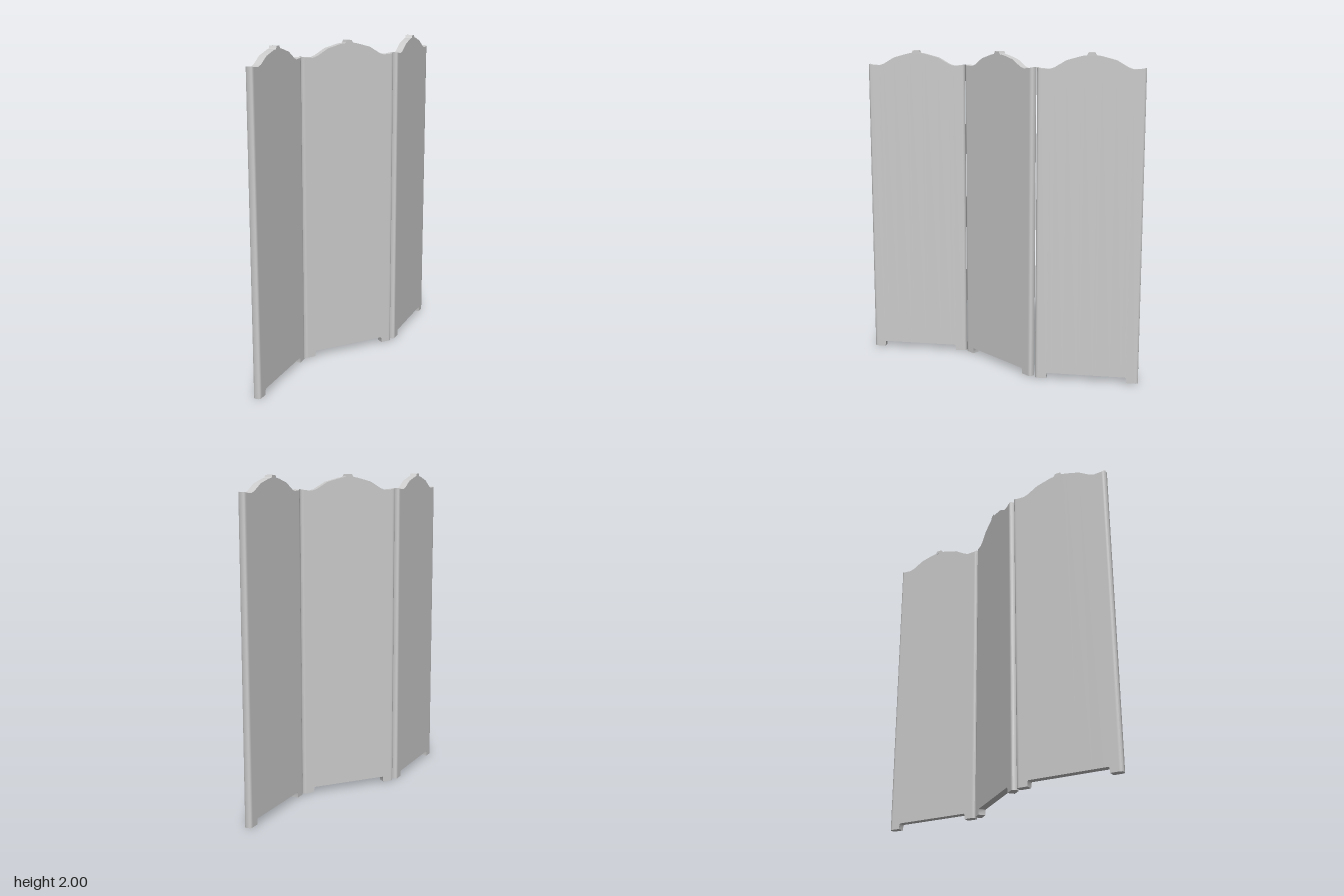
import * as THREE from 'three';
import { toCreasedNormals } from 'three/addons/utils/BufferGeometryUtils.js';

const TILT = THREE.MathUtils.degToRad(20);
const SPACING = 0.617;
const HALF_DEPTH = 0.0225;

// Right half of a panel, from the middle outwards: x, bottom y, top y, half depth
const HALF_STATIONS = [
  [0.04, 0.035, 1.982, HALF_DEPTH],
  [0.06, 0.035, 1.978, HALF_DEPTH],
  [0.145, 0.035, 1.955, HALF_DEPTH],
  [0.215, 0.035, 1.914, HALF_DEPTH],
  [0.241, 0.035, 1.905, HALF_DEPTH],
  [0.245, 0.028, 1.904, HALF_DEPTH],
  [0.247, 0, 1.904, HALF_DEPTH],
  [0.296, 0, 1.907, HALF_DEPTH],
  [0.306, 0, 1.91, HALF_DEPTH],
  [0.314, 0, 1.912, 0.0185],
  [0.318, 0, 1.912, 0.012],
];

// Rectangular cross-sections joined along x, closed at both ends
function loft(stations) {
  const rings = stations.map(([x, bottom, top, d]) => [
    [x, bottom, d], [x, bottom, -d], [x, top, -d], [x, top, d],
  ]);
  const positions = [];
  const quad = (a, b, c, d) => positions.push(...a, ...b, ...c, ...a, ...c, ...d);
  for (let i = 0; i < rings.length - 1; i++) {
    for (let k = 0; k < 4; k++) {
      const n = (k + 1) % 4;
      quad(rings[i][k], rings[i][n], rings[i + 1][n], rings[i + 1][k]);
    }
  }
  quad(...[...rings[0]].reverse());
  quad(...rings[rings.length - 1]);
  const geometry = new THREE.BufferGeometry();
  geometry.setAttribute('position', new THREE.Float32BufferAttribute(positions, 3));
  return toCreasedNormals(geometry, THREE.MathUtils.degToRad(40));
}

// Small tapered block on the crest of a panel
function crestGeometry() {
  const shape = new THREE.Shape([
    new THREE.Vector2(-0.034, 1.978),
    new THREE.Vector2(0.034, 1.978),
    new THREE.Vector2(0.024, 1.988),
    new THREE.Vector2(0.018, 2),
    new THREE.Vector2(-0.018, 2),
    new THREE.Vector2(-0.024, 1.988),
  ]);
  const depth = HALF_DEPTH * 2 + 0.001;
  return new THREE.ExtrudeGeometry(shape, { depth, bevelEnabled: false })
    .translate(0, 0, -depth / 2);
}

export function createModel() {
  const model = new THREE.Group();
  model.name = 'foldingScreen';
  const material = new THREE.MeshStandardMaterial({ color: 0xcccccc });

  // Mirror the half profile so the stations run from -x to +x
  const mirrored = HALF_STATIONS.map(([x, ...rest]) => [-x, ...rest]).reverse();
  const boardGeometry = loft([...mirrored, ...HALF_STATIONS]);
  const crest = crestGeometry();

  // Three panels standing in a zigzag
  ['rightPanel', 'middlePanel', 'leftPanel'].forEach((name, i) => {
    const panel = new THREE.Group();
    panel.name = name;
    const board = new THREE.Mesh(boardGeometry, material);
    board.name = 'board';
    const knob = new THREE.Mesh(crest, material);
    knob.name = 'crestBlock';
    panel.add(board, knob);
    panel.position.x = (i - 1) * SPACING;
    panel.rotation.y = i === 1 ? -TILT : TILT;
    model.add(panel);
  });
  return model;
}
